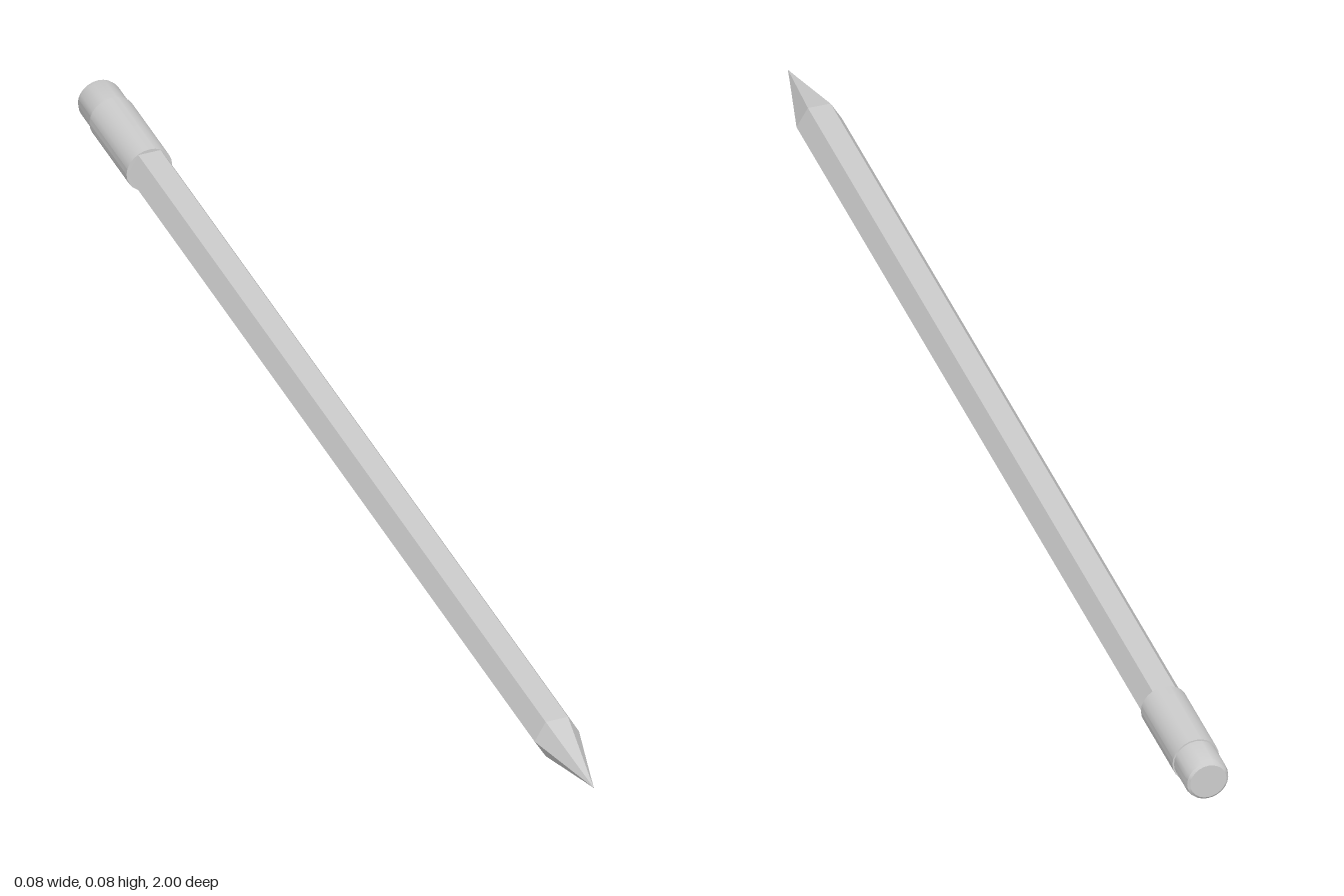
import * as THREE from 'three';
import { toCreasedNormals } from 'three/addons/utils/BufferGeometryUtils.js';

const AXIS_Y = 0.0375; // height of the pencil's axis
const HEX_R = 0.0365;

export function createModel() {
  const group = new THREE.Group();
  group.name = 'pencil';
  const smooth = new THREE.MeshStandardMaterial({ color: 0xcccccc });
  const faceted = new THREE.MeshStandardMaterial({ color: 0xcccccc, flatShading: true });

  // Lays a part built along y down along z, its top towards the front
  const add = (name, geometry, material) => {
    const mesh = new THREE.Mesh(geometry.rotateX(Math.PI / 2).translate(0, AXIS_Y, 0), material);
    mesh.name = name;
    group.add(mesh);
  };

  // Six-sided section between two positions along the axis
  const hexSection = (name, rFront, rBack, front, back, open) => {
    const g = new THREE.CylinderGeometry(rFront, rBack, front - back, 6, 1, open, Math.PI / 6);
    add(name, g.translate(0, (front + back) / 2, 0), faceted);
  };

  // Turned section from a back-to-front profile of [radius, position]
  const turned = (name, profile) => {
    const points = profile.map(([r, z]) => new THREE.Vector2(r, z));
    add(name, toCreasedNormals(new THREE.LatheGeometry(points, 24), Math.PI / 6), smooth);
  };

  // Wooden shaft, sharpened cone and lead
  hexSection('shaft', HEX_R, HEX_R, 0.85, -0.8, false);
  hexSection('sharpenedCone', 0.007, HEX_R, 0.97, 0.85, true);
  hexSection('leadTip', 0, 0.007, 1, 0.97, true);

  // Metal sleeve and eraser
  turned('ferrule', [[0, -0.94], [0.0375, -0.94], [0.0375, -0.79], [0, -0.79]]);
  turned('eraser', [[0, -1], [0.029, -1], [0.033, -0.997], [0.035, -0.99], [0.035, -0.93]]);

  return group;
}
